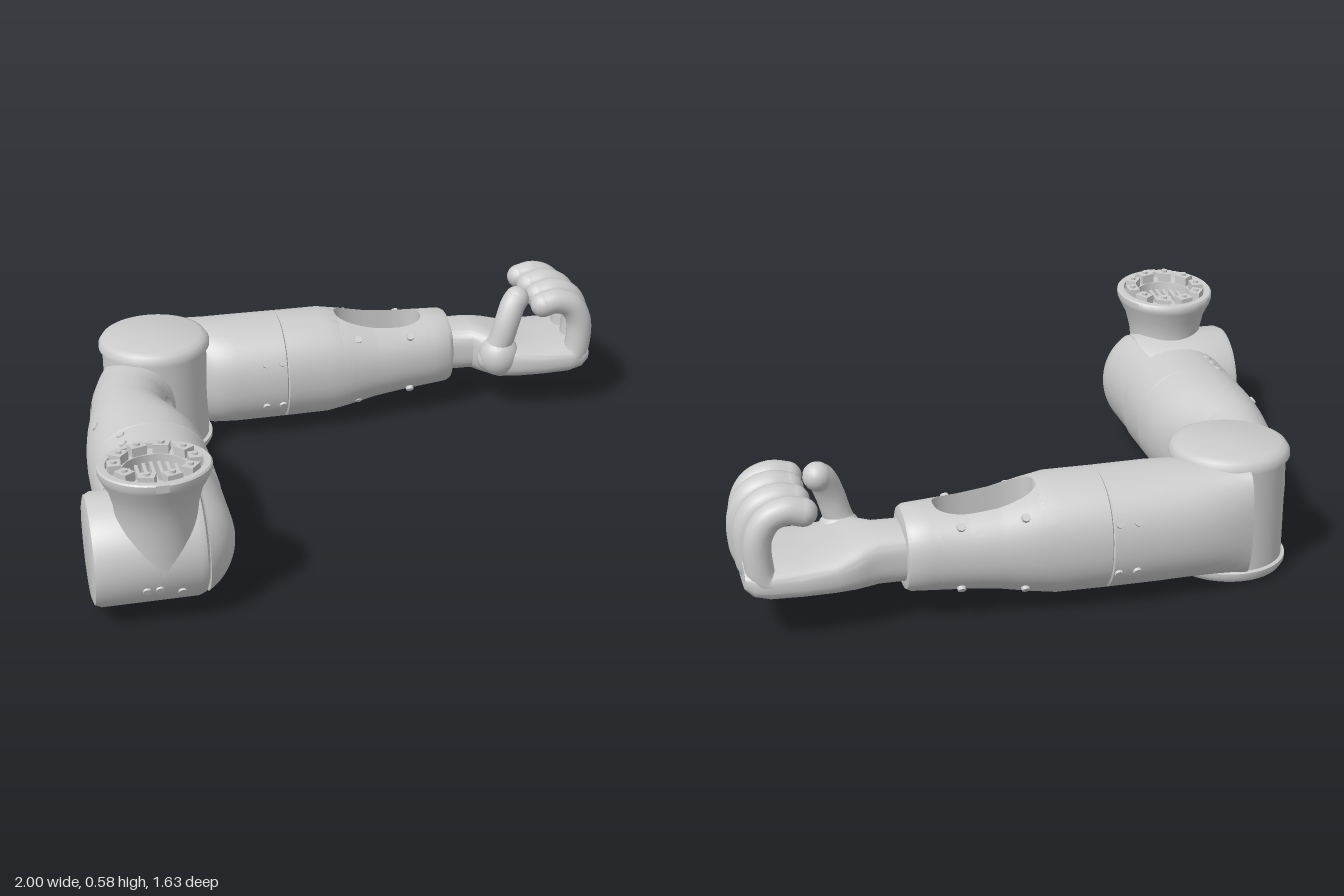
import * as THREE from 'three';
import { toCreasedNormals, mergeGeometries } from 'three/addons/utils/BufferGeometryUtils.js';

const mat = new THREE.MeshStandardMaterial({ color: 0xcccccc });
const V = (x, y, z) => new THREE.Vector3(x, y, z);

function add(parent, name, geo, crease = 0.7) {
  const mesh = new THREE.Mesh(crease ? toCreasedNormals(geo, crease) : geo, mat);
  mesh.name = name;
  parent.add(mesh);
  return mesh;
}

// Loft along axis t with superellipse sections, made of two halves split across u,
// so that a rounded slot can pass through along v.
// keys: [t, uMin, uMax, vMin, vMax]; axes: names of t, u, v, e.g. 'xzy'
function loft(keys, axes, { hole, groove, power = 0.9, halves = [1, -1], cut = 0 } = {}) {
  const ts = keys.map(k => k[0]);
  if (hole) {
    const [a, b] = hole;
    for (let i = 0; i <= 24; i++) ts.push((a + b) / 2 - (b - a) / 2 * Math.cos(Math.PI * i / 24));
  }
  if (groove !== undefined) ts.push(groove - 0.004, groove, groove + 0.004);
  ts.sort((p, q) => p - q);
  const N = 28, even = ['xyz', 'yzx', 'zxy'].includes(axes), pos = [];
  const sections = ts.map(t => {
    let i = 0;
    while (i < keys.length - 2 && t > keys[i + 1][0]) i++;
    const f = (t - keys[i][0]) / (keys[i + 1][0] - keys[i][0]);
    const [, u0, u1, v0, v1] = keys[i].map((k, j) => THREE.MathUtils.lerp(k, keys[i + 1][j], f));
    const s = t === groove ? 0.97 : 1;
    let h = cut;
    if (hole) {
      const q = Math.abs((2 * t - hole[0] - hole[1]) / (hole[1] - hole[0]));
      if (q < 0.9999) h = hole[2] * Math.pow(1 - q ** 2.8, 1 / 2.8);
    }
    return { t, cu: (u0 + u1) / 2, cv: (v0 + v1) / 2, a: (u1 - u0) / 2 * s, b: (v1 - v0) / 2 * s, h };
  });
  for (const side of halves) {
    const rings = sections.map(({ t, cu, cv, a, b, h }) => {
      const end = Math.acos(Math.min(1, Math.pow(h / a, 1 / power)));
      return Array.from({ length: N + 1 }, (_, j) => {
        const g = end * (2 * j / N - 1), sn = Math.sin(g);
        const p = V(0, 0, 0);
        p[axes[0]] = t;
        p[axes[1]] = cu + side * a * Math.pow(Math.max(0, Math.cos(g)), power);
        p[axes[2]] = cv + b * Math.sign(sn) * Math.pow(Math.abs(sn), power);
        return p;
      });
    });
    const tri = (p, q, r) => {
      for (const w of even === (side > 0) ? [p, q, r] : [p, r, q]) pos.push(w.x, w.y, w.z);
    };
    for (let i = 0; i < rings.length - 1; i++) {
      const wall = sections[i].h + sections[i + 1].h > 0;
      for (let j = 0; j < (wall ? N + 1 : N); j++) {
        const k = (j + 1) % (N + 1);
        tri(rings[i][j], rings[i][k], rings[i + 1][j]);
        tri(rings[i][k], rings[i + 1][k], rings[i + 1][j]);
      }
    }
    const last = rings[rings.length - 1];
    for (let j = 1; j < N; j++) {
      tri(rings[0][0], rings[0][j + 1], rings[0][j]);
      tri(last[0], last[j], last[j + 1]);
    }
  }
  const geo = new THREE.BufferGeometry();
  geo.setAttribute('position', new THREE.Float32BufferAttribute(pos, 3));
  return geo;
}

const lathe = pts => new THREE.LatheGeometry(pts.map(p => new THREE.Vector2(...p)), 64);

// Round-ended tube for the fingers and thumb
function digit(points, r) {
  const curve = new THREE.CatmullRomCurve3(points);
  const ends = [points[0], points[points.length - 1]].map(p =>
    new THREE.SphereGeometry(r, 16, 12).translate(p.x, p.y, p.z));
  return mergeGeometries([new THREE.TubeGeometry(curve, 28, r, 16), ...ends]);
}

// Small screw head lying on a surface
function screw(parent, p, normal) {
  const m = add(parent, 'screw', new THREE.CylinderGeometry(0.013, 0.015, 0.012, 12));
  m.position.copy(p);
  m.quaternion.setFromUnitVectors(V(0, 1, 0), normal.normalize());
}

export function createModel() {
  const arm = new THREE.Group();
  arm.name = 'mechanicalArm';

  // Shoulder barrel, lying along x
  const shoulder = new THREE.Group();
  shoulder.name = 'shoulder';
  arm.add(shoulder);
  add(shoulder, 'shoulderBarrel', lathe([[0, -0.18], [0.155, -0.18], [0.172, -0.172], [0.181, -0.15],
    [0.181, 0.155], [0.172, 0.175], [0.155, 0.18], [0, 0.18]]).rotateZ(Math.PI / 2).translate(-0.82, 0.221, 0.552));
  // Flared collar leaning forward, with a stepped bore
  const lean = geo => {
    const p = geo.attributes.position;
    for (let i = 0; i < p.count; i++) {
      const y = p.getY(i), z = p.getZ(i), k = THREE.MathUtils.clamp((y - 0.2) / 0.34, 0, 1);
      p.setXYZ(i, p.getX(i) - 0.787, y + 0.09 * z * k, z + 0.602 + 0.034 * k);
    }
    return geo;
  };
  add(shoulder, 'collar', lean(lathe([[0.13, 0.2], [0.127, 0.3], [0.127, 0.36], [0.132, 0.41], [0.146, 0.465],
    [0.17, 0.512], [0.175, 0.525], [0.175, 0.543], [0.17, 0.548], [0.15, 0.548], [0.147, 0.53],
    [0.1, 0.53], [0.098, 0.45], [0, 0.45]])));
  // Locking blocks around the bore
  for (let i = 0; i < 10; i++) {
    const a = (i + 0.5) / 10 * Math.PI * 2;
    add(shoulder, 'lockingBlock', lean(new THREE.BoxGeometry(0.05, 0.04, 0.04, 1, 1, 1)
      .translate(0, 0.541, 0.123).rotateY(a)));
    add(shoulder, 'blockPin', lean(new THREE.CylinderGeometry(0.01, 0.01, 0.01, 10)
      .translate(0, 0.564, 0.123).rotateY(a)));
  }
  // Ribs in the bore and the alignment tab
  for (let i = -3; i <= 3; i++) {
    const len = 2 * Math.sqrt(0.0094 - (i * 0.024) ** 2);
    add(shoulder, 'boreRib', lean(new THREE.BoxGeometry(0.01, 0.06, len).translate(i * 0.024, 0.475, 0)));
  }
  add(shoulder, 'alignmentTab', lean(new THREE.BoxGeometry(0.04, 0.025, 0.03).translate(0, 0.535, 0.163)));
  for (const [x, y] of [[-0.84, 0.15], [-0.8, 0.15], [-0.73, 0.13]])
    screw(shoulder, V(x, y, 0.552 + Math.sqrt(0.181 ** 2 - (y - 0.221) ** 2)), V(0, y - 0.221, 0.166));

  // Upper arm along z, with a window through its side
  const upper = new THREE.Group();
  upper.name = 'upperArm';
  arm.add(upper);
  add(upper, 'upperArmShell', loft([
    [-0.56, 0.06, 0.38, -0.815, -0.56], [-0.48, 0.055, 0.385, -0.85, -0.54], [-0.4, 0.05, 0.385, -0.875, -0.55],
    [-0.35, 0.05, 0.388, -0.885, -0.585], [-0.3, 0.048, 0.391, -0.895, -0.61], [-0.2, 0.04, 0.4, -0.91, -0.625],
    [-0.13, 0.032, 0.408, -0.922, -0.605], [-0.06, 0.025, 0.414, -0.932, -0.57], [0.02, 0.021, 0.419, -0.938, -0.542],
    [0.13, 0.02, 0.42, -0.94, -0.537], [0.325, 0.02, 0.42, -0.94, -0.537], [0.33, 0.025, 0.415, -0.935, -0.542],
  ], 'zyx', { hole: [-0.325, -0.135, 0.09], groove: 0.13, power: 0.92 }));
  // Side plate reaching past the barrel: a cylinder slice with a domed end
  const plate = [[0.3, -0.94, -0.537, 0.02, 0.422]];
  for (let i = 0; i <= 14; i++) {
    const g = Math.PI / 2 * i / 14, r = Math.sqrt(0.0101 + (0.174 * Math.cos(g)) ** 2);
    plate.push([0.546 + 0.174 * Math.sin(g), -0.738 - r, -0.738 + r, 0.221 - r, 0.221 + r]);
  }
  add(upper, 'shoulderSidePlate', loft(plate, 'zxy', { power: 1, halves: [1], cut: 0.1 }));
  add(upper, 'shoulderPin', new THREE.CylinderGeometry(0.05, 0.05, 0.08, 24).rotateX(Math.PI / 2).translate(-0.735, 0.24, 0.345));
  for (const z of [0.155, 0.215, 0.27]) for (const s of [1, -1])
    screw(upper, V(-0.835, 0.22 + s * 0.179, z), V(-0.095, s * 0.179, 0));
  for (const s of [1, -1]) screw(upper, V(-0.898, 0.22 + s * 0.125, -0.03), V(-0.15, s * 0.125, 0));

  // Elbow drum with wider caps
  add(arm, 'elbowDrum', lathe([[0, 0], [0.165, 0], [0.185, 0.01], [0.196, 0.028], [0.196, 0.042], [0.184, 0.045],
    [0.184, 0.387], [0.196, 0.39], [0.196, 0.405], [0.185, 0.422], [0.165, 0.431], [0, 0.433]])
    .translate(-0.628, 0, -0.53));

  // Forearm along x, with a window through top and bottom
  const fore = new THREE.Group();
  fore.name = 'forearm';
  arm.add(fore);
  add(fore, 'forearmShell', loft([
    [-0.63, -0.775, -0.67, 0.05, 0.4], [-0.58, -0.787, -0.58, 0.042, 0.405], [-0.5, -0.803, -0.5, 0.037, 0.41],
    [-0.42, -0.81, -0.445, 0.032, 0.412], [-0.34, -0.814, -0.433, 0.03, 0.412], [-0.16, -0.815, -0.433, 0.03, 0.41],
    [0, -0.812, -0.434, 0.031, 0.41], [0.08, -0.806, -0.444, 0.045, 0.395], [0.18, -0.796, -0.46, 0.066, 0.374],
    [0.28, -0.787, -0.474, 0.078, 0.364], [0.4, -0.776, -0.492, 0.086, 0.36], [0.46, -0.77, -0.502, 0.09, 0.358],
    [0.475, -0.76, -0.512, 0.097, 0.35], [0.482, -0.735, -0.535, 0.115, 0.33],
  ], 'xzy', { hole: [0.05, 0.375, 0.082], groove: -0.16, power: 0.9 }));
  for (const sz of [1, -1]) for (const sy of [1, -1])
    for (const [x, dz, dy] of [[-0.24, 0.177, 0.085], [-0.18, 0.177, 0.085], [0.11, 0.133, 0.121], [0.31, 0.118, 0.105]])
      screw(fore, V(x, 0.22 + sy * dy, (x < 0 ? -0.624 : -0.63) + sz * dz), V(0, sy * dy, sz * dz));

  // Hand: wrist and palm, curled fingers, thumb
  const hand = new THREE.Group();
  hand.name = 'hand';
  arm.add(hand);
  add(hand, 'wristAndPalm', loft([
    [0.46, -0.745, -0.545, 0.135, 0.31], [0.56, -0.745, -0.54, 0.135, 0.31], [0.6, -0.757, -0.49, 0.13, 0.305],
    [0.64, -0.77, -0.44, 0.128, 0.295], [0.7, -0.777, -0.425, 0.13, 0.275], [0.8, -0.78, -0.418, 0.132, 0.265],
    [0.9, -0.78, -0.415, 0.136, 0.265], [0.95, -0.775, -0.42, 0.15, 0.265], [0.975, -0.76, -0.435, 0.175, 0.26],
  ], 'xzy', { power: 0.7 }));
  [[-0.736, 0.044, -0.02], [-0.645, 0.049, -0.005], [-0.55, 0.05, 0], [-0.462, 0.046, -0.012]].forEach(([z, r, dx]) => {
    const path = [[0.88, 0.195], [0.935, 0.215], [0.952, 0.28], [0.948, 0.36], [0.915, 0.415], [0.86, 0.435], [0.81, 0.425]];
    add(hand, 'finger', digit(path.map(([x, y]) => V(x + dx, y, z)), r), 0);
  });
  add(hand, 'thumb', digit([V(0.61, 0.21, -0.5), V(0.645, 0.28, -0.485), V(0.67, 0.36, -0.485),
    V(0.695, 0.42, -0.5), V(0.712, 0.437, -0.512)], 0.046), 0);
  add(hand, 'thumbBase', new THREE.SphereGeometry(0.075, 24, 16).scale(1, 1.05, 0.95).translate(0.645, 0.225, -0.492), 0);

  return arm;
}
